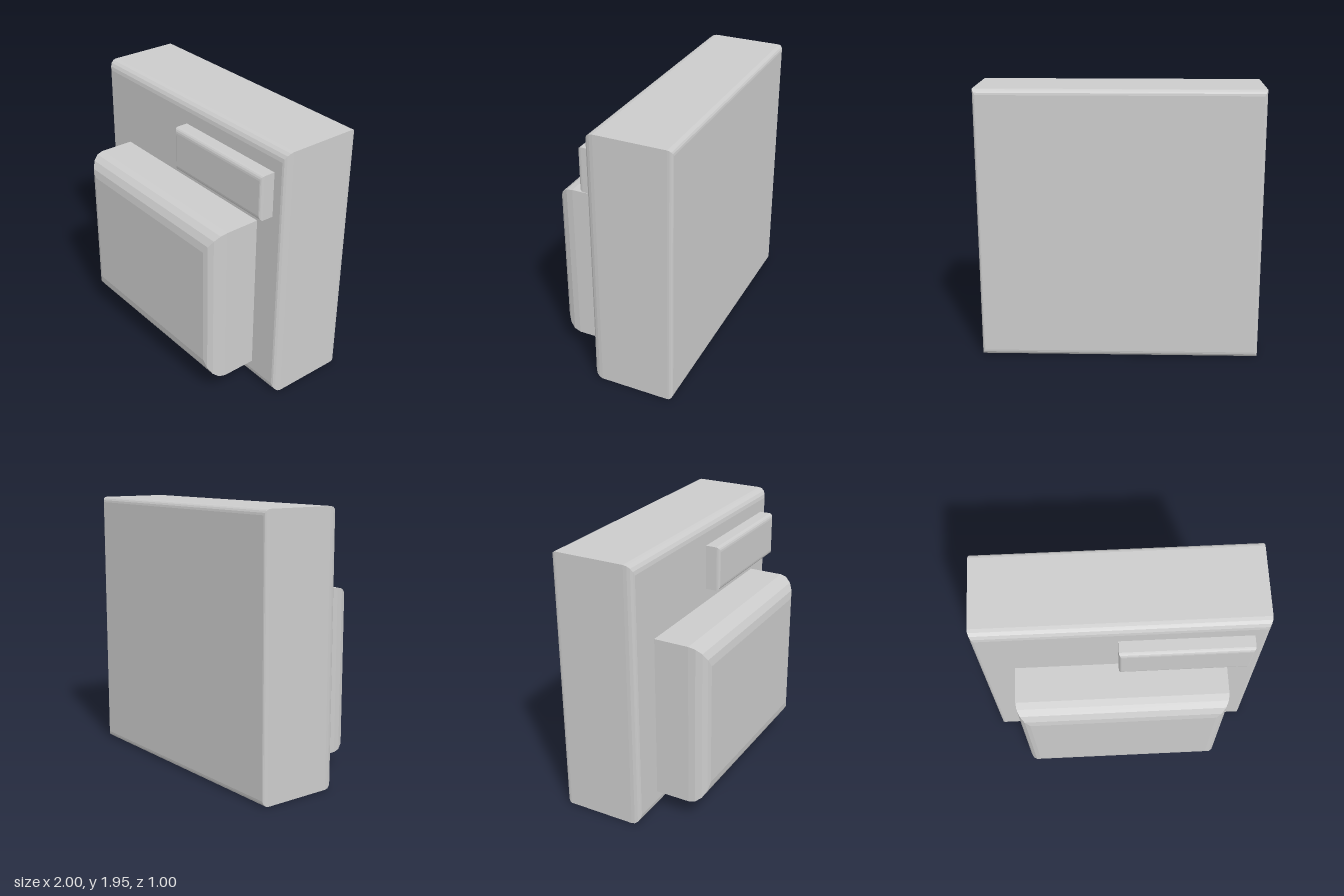
import * as THREE from 'three';

const STEPS = 4;

// Box lofted along z from rectangles; a bevel is { x, y, z }: inset per axis.
function bevelledBox(name, [x0, x1], [y0, y1], [z0, z1], front, back) {
  const rings = [];
  const addRing = (ix, iy, z) => rings.push([
    [x0 + ix, y0 + iy, z], [x1 - ix, y0 + iy, z],
    [x1 - ix, y1 - iy, z], [x0 + ix, y1 - iy, z],
  ]);
  // Rounded back edge, or a square one
  if (back) {
    for (let i = 0; i <= STEPS; i++) {
      const a = (i / STEPS) * Math.PI / 2;
      addRing(back.x * (1 - Math.sin(a)), back.y * (1 - Math.sin(a)), z0 + back.z * (1 - Math.cos(a)));
    }
  } else addRing(0, 0, z0);
  // Rounded front edge
  for (let i = 0; i <= STEPS; i++) {
    const a = (i / STEPS) * Math.PI / 2;
    addRing(front.x * (1 - Math.cos(a)), front.y * (1 - Math.cos(a)), z1 - front.z * (1 - Math.sin(a)));
  }

  const positions = [];
  const quad = (a, b, c, d) => positions.push(...a, ...b, ...c, ...a, ...c, ...d);
  for (let r = 0; r < rings.length - 1; r++) {
    const p = rings[r], q = rings[r + 1];
    for (let i = 0; i < 4; i++) {
      const j = (i + 1) % 4;
      quad(p[i], p[j], q[j], q[i]);
    }
  }
  const first = rings[0], last = rings[rings.length - 1];
  quad(first[3], first[2], first[1], first[0]);
  quad(...last);

  const geometry = new THREE.BufferGeometry();
  geometry.setAttribute('position', new THREE.Float32BufferAttribute(positions, 3));
  geometry.computeVertexNormals();
  const mesh = new THREE.Mesh(geometry, new THREE.MeshStandardMaterial({ color: 0xcccccc, flatShading: true }));
  mesh.name = name;
  return mesh;
}

export function createModel() {
  const group = new THREE.Group();
  group.name = 'wallUnit';
  group.add(
    // Main slab with softened front and back edges
    bevelledBox('body', [-1, 1], [0, 1.945], [-0.5, 0.113],
      { x: 0.035, y: 0.07, z: 0.065 }, { x: 0.022, y: 0.04, z: 0.035 }),
    // Large raised block on the lower front
    bevelledBox('frontPanel', [-0.75, 0.75], [0.14, 1.352], [0.1, 0.5],
      { x: 0.09, y: 0.15, z: 0.13 }),
    // Small plate at the upper left
    bevelledBox('namePlate', [-0.018, 0.898], [1.452, 1.78], [0.1, 0.222],
      { x: 0.02, y: 0.036, z: 0.027 }),
  );
  return group;
}
